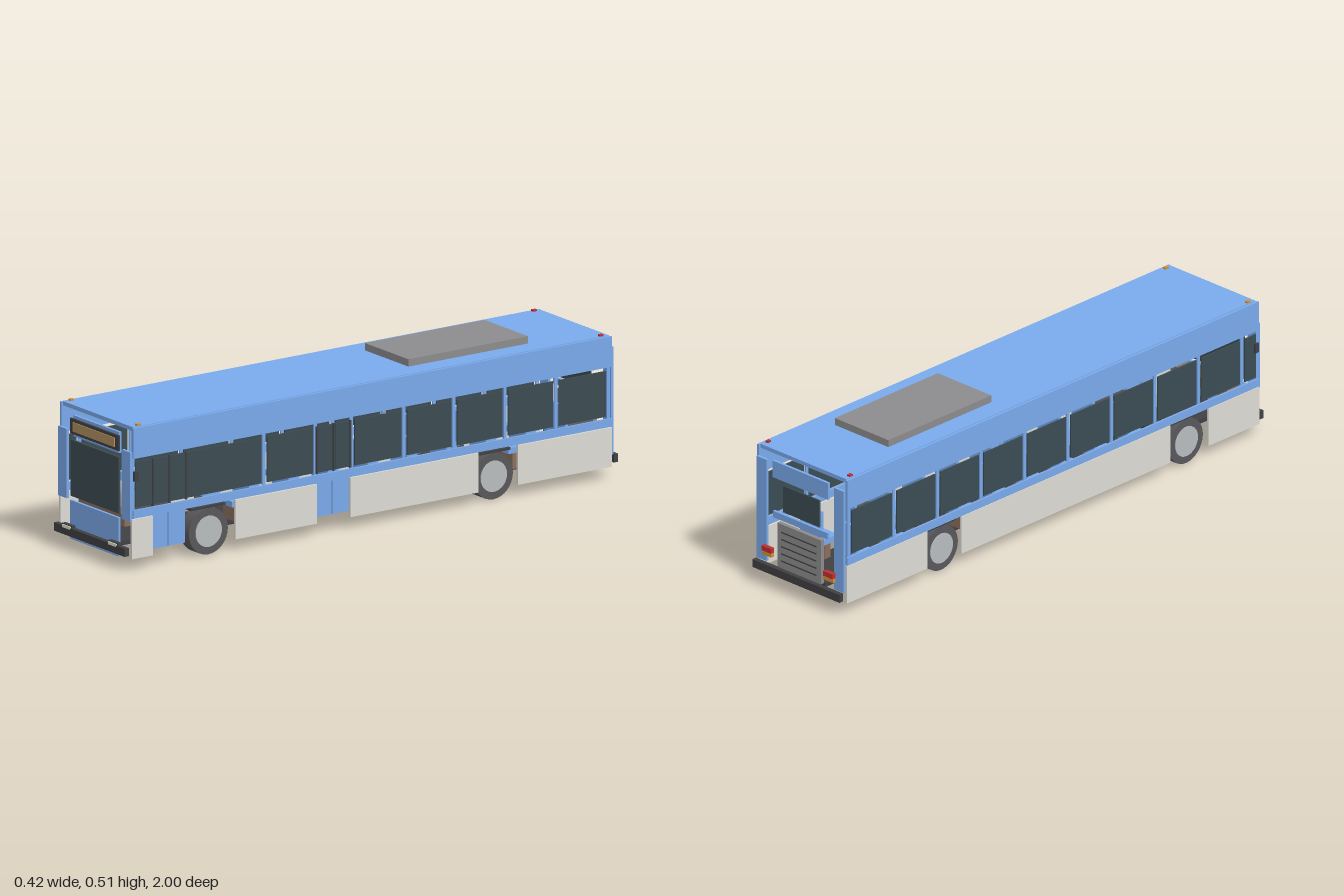
import * as THREE from 'three';

const mat = (color) => new THREE.MeshStandardMaterial({ color });
const M = {
  blue: mat(0x7aaaec), glass: mat(0x3b4c53), skirt: mat(0xdddbd4), dark: mat(0x403f43),
  grey: mat(0x8c8c8e), tyre: mat(0x58575b), hub: mat(0xb8bcbe), tan: mat(0xb09060),
  brown: mat(0x8a6f5c), red: mat(0xc03030), amber: mat(0xd09030), lamp: mat(0xdfe5d0),
};

export function createModel() {
  const bus = new THREE.Group();
  bus.name = 'bus';

  // Box given by its limits on each axis
  const box = (name, m, x0, x1, y0, y1, z0, z1) => {
    const g = new THREE.BoxGeometry(Math.abs(x1 - x0), y1 - y0, Math.abs(z1 - z0));
    g.translate((x0 + x1) / 2, (y0 + y1) / 2, (z0 + z1) / 2);
    const mesh = new THREE.Mesh(g, m);
    mesh.name = name;
    bus.add(mesh);
    return mesh;
  };
  // Same box on both sides of the centre line
  const pair = (name, m, x0, x1, ...rest) => {
    box(name + 'Left', m, x0, x1, ...rest);
    box(name + 'Right', m, -x1, -x0, ...rest);
  };
  const cyl = (name, m, r, x0, x1, y, z) => {
    const g = new THREE.CylinderGeometry(r, r, Math.abs(x1 - x0), 32);
    g.rotateZ(Math.PI / 2).translate((x0 + x1) / 2, y, z);
    const mesh = new THREE.Mesh(g, m);
    mesh.name = name;
    bus.add(mesh);
  };

  // Roof, its side panels and the cooling unit
  box('roof', M.blue, -0.197, 0.197, 0.474, 0.488, -0.965, 0.965);
  pair('roofSide', M.blue, 0.198, 0.207, 0.382, 0.486, -0.97, 0.97);
  box('roofUnit', M.grey, -0.123, 0.123, 0.486, 0.513, -0.69, -0.205);
  pair('frontMarker', M.amber, 0.182, 0.194, 0.486, 0.494, 0.93, 0.945);
  pair('rearMarker', M.red, 0.182, 0.194, 0.486, 0.494, -0.945, -0.93);

  // Belt rail, and the skirts between the wheels and doors
  pair('beltRail', M.blue, 0.2, 0.208, 0.178, 0.206, -0.97, 0.97);
  const skirts = {
    1: [[0.89, 0.975], [0.225, 0.555], [-0.43, 0.09], [-0.97, -0.59]],
    '-1': [[0.735, 0.975], [-0.43, 0.555], [-0.97, -0.59]],
  };
  for (const s of [1, -1])
    for (const [a, b] of skirts[s]) box('skirt', M.skirt, s * 0.198, s * 0.206, 0.04, 0.175, a, b);

  // Side windows with pillars between them
  const pillars = {
    1: [0.437, 0.228, 0.083, -0.13, -0.333, -0.54, -0.745],
    '-1': [0.895, 0.69, 0.485, 0.28, 0.075, -0.13, -0.335, -0.54, -0.745],
  };
  for (const s of [1, -1]) {
    let front = 0.967;
    for (const z of [...pillars[s], -0.958]) {
      box('window', M.glass, s * 0.2, s * 0.205, 0.214, 0.37, z + 0.012, front - 0.008);
      box('windowPillar', M.blue, s * 0.197, s * 0.203, 0.2, 0.386, z - 0.006, z + 0.006);
      front = z - 0.004;
    }
    box('frontWindowPillar', M.blue, s * 0.197, s * 0.203, 0.2, 0.386, 0.962, 0.97);
  }

  // Two double doors on the left side
  for (const [a, b] of [[0.755, 0.89], [0.09, 0.225]]) {
    const mid = (a + b) / 2;
    for (const [p, q] of [[a, mid - 0.002], [mid + 0.002, b]]) {
      box('doorLeaf', M.blue, 0.19, 0.198, 0.06, 0.175, p, q);
      box('doorGlass', M.glass, 0.204, 0.207, 0.214, 0.37, p + 0.004, q - 0.004);
    }
    for (const z of [a, mid, b]) box('doorFrame', M.dark, 0.2, 0.208, 0.21, 0.372, z - 0.003, z + 0.003);
  }

  // Front end
  pair('frontCorner', M.blue, 0.155, 0.203, 0.168, 0.405, 0.97, 0.98);
  box('frontHeader', M.blue, -0.128, 0.128, 0.385, 0.457, 0.962, 0.972);
  box('signFrame', M.dark, -0.136, 0.136, 0.395, 0.447, 0.972, 0.98);
  box('signPanel', M.tan, -0.117, 0.117, 0.405, 0.437, 0.978, 0.983);
  box('windscreen', M.glass, -0.135, 0.135, 0.181, 0.373, 0.97, 0.978);
  box('frontPanel', M.blue, -0.136, 0.136, 0.035, 0.167, 0.97, 0.98);
  box('frontBumper', M.dark, -0.2, 0.2, 0.051, 0.079, 0.982, 1);
  pair('headlightHousing', M.dark, 0.102, 0.157, 0.07, 0.087, 0.982, 0.997);
  pair('headlight', M.lamp, 0.107, 0.152, 0.074, 0.084, 0.99, 1.001);
  pair('mirror', M.dark, 0.2, 0.211, 0.305, 0.338, 0.95, 0.968);

  // Rear end
  pair('rearCorner', M.blue, 0.155, 0.2, 0.08, 0.448, -0.98, -0.97);
  box('rearHeader', M.blue, -0.128, 0.128, 0.395, 0.455, -0.98, -0.97);
  box('rearWindow', M.glass, -0.083, 0.083, 0.28, 0.376, -0.976, -0.97);
  box('rearRail', M.blue, -0.125, 0.125, 0.25, 0.273, -0.98, -0.97);
  box('engineCover', M.grey, -0.1, 0.1, 0.08, 0.24, -0.985, -0.97);
  for (let i = 0; i < 5; i++) {
    const y = 0.105 + i * 0.026;
    box('coverSlat', M.dark, -0.08, 0.08, y, y + 0.004, -0.987, -0.984);
  }
  pair('tailLight', M.red, 0.12, 0.163, 0.122, 0.14, -0.995, -0.98);
  pair('rearIndicator', M.amber, 0.12, 0.163, 0.108, 0.12, -0.993, -0.98);
  box('rearBumper', M.dark, -0.2, 0.2, 0.051, 0.079, -1, -0.982);

  // Chassis plate, axles and wheels, with twin tyres at the rear
  box('chassis', M.dark, -0.085, 0.085, 0.053, 0.068, -0.95, 0.95);
  for (const z of [0.65, -0.505]) {
    cyl('axle', M.dark, 0.015, -0.14, 0.14, 0.079, z);
    for (const s of [1, -1]) {
      cyl('tyre', M.tyre, 0.079, s * 0.135, s * 0.185, 0.079, z);
      cyl('hub', M.hub, 0.053, s * 0.18, s * 0.188, 0.079, z);
      if (z < 0) cyl('innerTyre', M.tyre, 0.079, s * 0.081, s * 0.13, 0.079, z);
      box('wheelArch', M.dark, s * 0.13, s * 0.185, 0.158, 0.166, z - 0.07, z + 0.07);
    }
  }

  // Rows of seats and the dashboard
  for (let i = 0; i < 9; i++) {
    const z = 0.48 - i * 0.16;
    pair('seatCushion', M.blue, 0.035, 0.13, 0.125, 0.145, z - 0.035, z + 0.035);
    pair('seatBase', M.brown, 0.045, 0.12, 0.068, 0.125, z - 0.02, z + 0.01);
    pair('seatBack', M.blue, 0.035, 0.13, 0.13, 0.25, z - 0.047, z - 0.035);
  }
  box('dashboard', M.brown, -0.13, 0.13, 0.13, 0.17, 0.9, 0.95);

  return bus;
}
